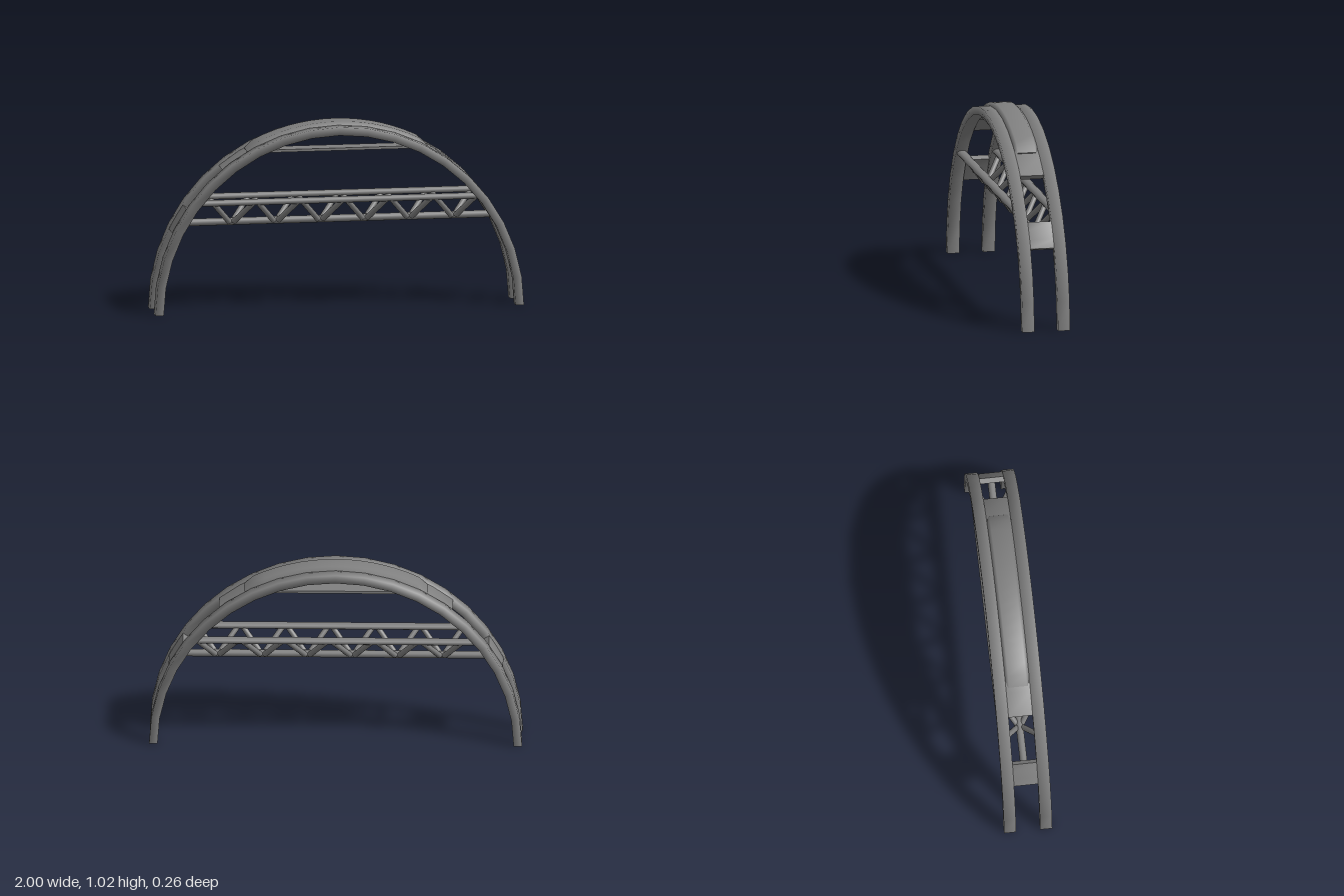
import * as THREE from 'three';

const material = new THREE.MeshStandardMaterial({ color: 0x808080 });
const rad = THREE.MathUtils.degToRad;

// Sweep a counter-clockwise [radius, z] profile along a circle from angle a0 to a1 (degrees), with end caps.
// endDrop lowers the two end rings so the part slopes down at its ends.
function sweepArc(profile, a0, a1, segments, endDrop = 0) {
  const n = profile.length, pos = [], idx = [];
  const ring = (deg, drop) => {
    const a = rad(deg);
    profile.forEach(([r, z]) => pos.push((r - drop) * Math.cos(a), (r - drop) * Math.sin(a), z));
  };
  for (let j = 0; j <= segments; j++) {
    ring(a0 + ((a1 - a0) * j) / segments, j % segments === 0 ? endDrop : 0);
  }
  for (let j = 0; j < segments; j++) {
    for (let i = 0; i < n; i++) {
      const p = j * n + i, p2 = j * n + ((i + 1) % n);
      idx.push(p, p + n, p2, p2, p + n, p2 + n);
    }
  }
  const start = (segments + 1) * n, end = start + n;
  ring(a0, endDrop);
  ring(a1, endDrop);
  for (let i = 1; i < n - 1; i++) {
    idx.push(start, start + i, start + i + 1);
    idx.push(end, end + i + 1, end + i);
  }
  const geo = new THREE.BufferGeometry();
  geo.setAttribute('position', new THREE.Float32BufferAttribute(pos, 3));
  geo.setIndex(idx);
  geo.computeVertexNormals();
  return geo;
}

const rect = (r0, r1, z0, z1) => [[r0, z0], [r1, z0], [r1, z1], [r0, z1]];

export function createModel() {
  const group = new THREE.Group();
  const add = (name, geo, parent = group) => {
    const mesh = new THREE.Mesh(geo, material);
    mesh.name = name;
    parent.add(mesh);
    return mesh;
  };
  // Bar between two points, round or widened in z
  const bar = (name, a, b, radius, parent, depth = radius) => {
    const from = new THREE.Vector3(...a), to = new THREE.Vector3(...b);
    const dir = to.clone().sub(from);
    const geo = new THREE.CylinderGeometry(radius, radius, dir.length(), 12).scale(1, 1, depth / radius);
    const mesh = add(name, geo, parent);
    mesh.position.copy(from).add(to).multiplyScalar(0.5);
    mesh.quaternion.setFromUnitVectors(new THREE.Vector3(0, 1, 0), dir.normalize());
  };

  // Twin half-circle arches
  add('frontArch', sweepArc(rect(0.955, 1, 0.065, 0.13), 0, 180, 20));
  add('backArch', sweepArc(rect(0.955, 1, -0.13, -0.065), 0, 180, 20));

  // Curved panels joining the arches, flush with their outside: crown and one on each side
  const web = rect(0.966, 0.996, -0.068, 0.068);
  add('crownPanel', sweepArc(web, 51, 129, 10));
  add('leftTiePanel', sweepArc(web, 25.8, 34.5, 3));
  add('rightTiePanel', sweepArc(web, 145.5, 154.2, 3));

  // Raised cover with bevelled sides and sloping ends on the crown
  const cover = [[0.98, -0.065], [1, -0.065], [1.017, -0.048], [1.017, 0.048], [1, 0.065], [0.98, 0.065]];
  add('crownCover', sweepArc(cover, 60.5, 119.5, 16, 0.017));

  // Flat plate spanning under the crown
  add('crownPlate', new THREE.BoxGeometry(0.95, 0.014, 0.1)).position.y = 0.865;

  // Triangular truss: two upper chords, one lower chord, zigzag braces
  const truss = new THREE.Group();
  truss.name = 'truss';
  group.add(truss);
  const topY = 0.6, lowY = 0.48, chordZ = 0.098;
  bar('lowerChord', [-0.85, lowY, 0], [0.85, lowY, 0], 0.02, truss);
  for (const s of [1, -1]) {
    const z = s * chordZ;
    bar(s > 0 ? 'frontUpperChord' : 'backUpperChord', [-0.775, topY, z], [0.775, topY, z], 0.017, truss, 0.027);
    for (let k = 0; k < 6; k++) {
      const x = -0.57 + 0.241 * k;
      for (const d of [-0.112, 0.112]) bar('brace', [x + d * 0.1, lowY, s * 0.015], [x + d, topY, z], 0.015, truss);
    }
  }
  return group;
}
